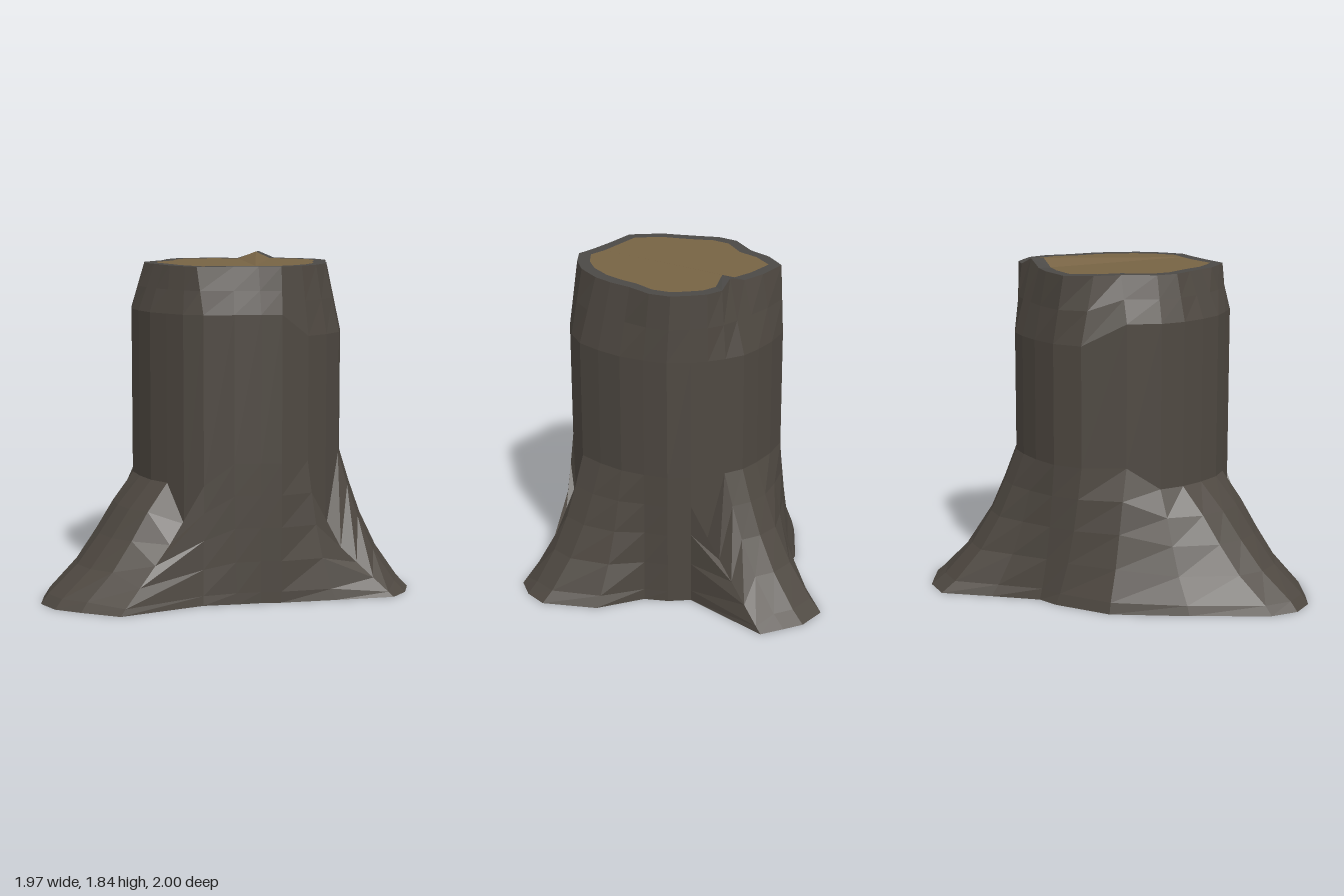
import * as THREE from 'three';

// Outlines as x, z pairs, all starting at the back and running towards +x.
const FOOT = [
  0.11, -1, 0.22, -0.96, 0.35, -0.91, 0.36, -0.38, 0.46, -0.3, 0.54, -0.19, 0.8, -0.08, 0.98, 0.17, 0.97, 0.31,
  0.91, 0.43, 0.6, 0.53, 0.31, 0.62, 0.2, 0.64, 0.08, 0.68, -0.1, 0.73, -0.5, 1, -0.72, 0.94, -0.87, 0.89,
  -0.97, 0.78, -0.99, 0.62, -0.85, 0.2, -0.69, -0.2, -0.45, -0.43, -0.34, -0.49, -0.2, -0.73, -0.06, -0.98,
];
const TRUNK = [
  0.08, -0.5, 0.19, -0.47, 0.28, -0.43, 0.36, -0.38, 0.46, -0.3, 0.52, -0.18, 0.57, -0.05, 0.59, 0.1, 0.59, 0.25,
  0.53, 0.39, 0.44, 0.51, 0.31, 0.62, 0.2, 0.64, 0.06, 0.67, -0.1, 0.69, -0.21, 0.67, -0.31, 0.6, -0.41, 0.52,
  -0.49, 0.4, -0.55, 0.27, -0.575, 0.13, -0.53, -0.05, -0.45, -0.28, -0.33, -0.4, -0.18, -0.46, -0.04, -0.49,
];
const RIM = [
  0.09, -0.4, 0.18, -0.43, 0.28, -0.42, 0.36, -0.37, 0.44, -0.31, 0.49, -0.2, 0.49, -0.05, 0.51, 0.08, 0.51, 0.2,
  0.47, 0.36, 0.4, 0.48, 0.3, 0.58, 0.18, 0.59, 0.05, 0.61, -0.14, 0.65, -0.21, 0.6, -0.3, 0.52, -0.35, 0.44,
  -0.41, 0.35, -0.48, 0.25, -0.5, 0.13, -0.43, -0.05, -0.42, -0.2, -0.36, -0.35, -0.17, -0.39, -0.03, -0.39,
];
const N = RIM.length / 2;
const TOP = 1.8;

const lerp = THREE.MathUtils.lerp;
const rimHeight = (i) => (i === 0 ? 1.84 : TOP); // one splinter stands up at the back

// One cross-section: each point a part t(i) of the way between two outlines, at height y(i)
function section(from, to, t, y) {
  return Array.from({ length: N }, (_, i) => new THREE.Vector3(
    lerp(from[2 * i], to[2 * i], t(i)), y(i), lerp(from[2 * i + 1], to[2 * i + 1], t(i))));
}

function flatGeometry(points) {
  const geometry = new THREE.BufferGeometry().setFromPoints(points);
  geometry.computeVertexNormals();
  return geometry;
}

// Skin between successive closed loops
function loft(loops) {
  const tris = [];
  for (let k = 0; k < loops.length - 1; k++) {
    for (let i = 0; i < N; i++) {
      const j = (i + 1) % N;
      const [a, b, c, d] = [loops[k][i], loops[k][j], loops[k + 1][i], loops[k + 1][j]];
      tris.push(a, c, b, b, c, d);
    }
  }
  return flatGeometry(tris);
}

export function createModel() {
  const group = new THREE.Group();
  const bark = new THREE.MeshStandardMaterial({ color: 0x4e4841, flatShading: true, side: THREE.DoubleSide });
  const barkEdge = new THREE.MeshStandardMaterial({ color: 0x4b4946, flatShading: true, side: THREE.DoubleSide });
  const wood = new THREE.MeshStandardMaterial({ color: 0x776344, flatShading: true, side: THREE.DoubleSide });

  const add = (name, geometry, material) => {
    const mesh = new THREE.Mesh(geometry, material);
    mesh.name = name;
    group.add(mesh);
  };

  // Spreading roots: low straight ridges edge the roots, the front right root is fuller
  const ridges = { 2: 0.38, 9: 0.34, 15: 0.43 };
  const frontRight = (i) => FOOT[2 * i] < 0 && FOOT[2 * i + 1] > 0;
  const rootTop = (i) => ridges[i] ?? (frontRight(i) ? 0.64 : 0.76);
  // Each row: share of the root height, then spread of a plain and a full root
  const flare = [[0, 1, 1], [0.08, 0.84, 0.93], [0.3, 0.53, 0.64], [0.54, 0.3, 0.42], [0.77, 0.14, 0.23], [1, 0, 0]];
  const rootLoops = flare.map(([u, plain, full]) => section(
    TRUNK, FOOT,
    (i) => (i in ridges ? 1 - u : FOOT[2 * i] < -0.6 ? full : plain),
    (i) => u * rootTop(i)));
  add('roots', loft(rootLoops), bark);

  // Trunk, drawn in below the cut, sooner at the back and left
  const shoulder = (i) => (TRUNK[2 * i] > 0.42 || TRUNK[2 * i + 1] < -0.2 ? 1.43 : 1.55);
  const rim = section(RIM, RIM, () => 0, rimHeight);
  add('trunk', loft([
    rootLoops[rootLoops.length - 1],
    section(TRUNK, RIM, () => 0, shoulder),
    section(TRUNK, RIM, () => 0.5, (i) => lerp(shoulder(i), TOP, 0.5)),
    rim,
  ]), bark);

  // Bark ring around the cut
  const center = new THREE.Vector3(0.02, 0, 0.1);
  const inner = rim.map((p) => {
    const inward = center.clone().setY(p.y).sub(p).setLength(0.07);
    return p.clone().add(inward);
  });
  add('barkRing', loft([rim, inner]), barkEdge);

  // Cut wood, folded along a narrow ridge from the front to the splinter
  const front = 12;
  const tris = [];
  for (let k = 1; k < N - 1; k++) {
    tris.push(inner[front], inner[(front + k + 1) % N], inner[(front + k) % N]);
  }
  add('cutWood', flatGeometry(tris), wood);

  return group;
}
